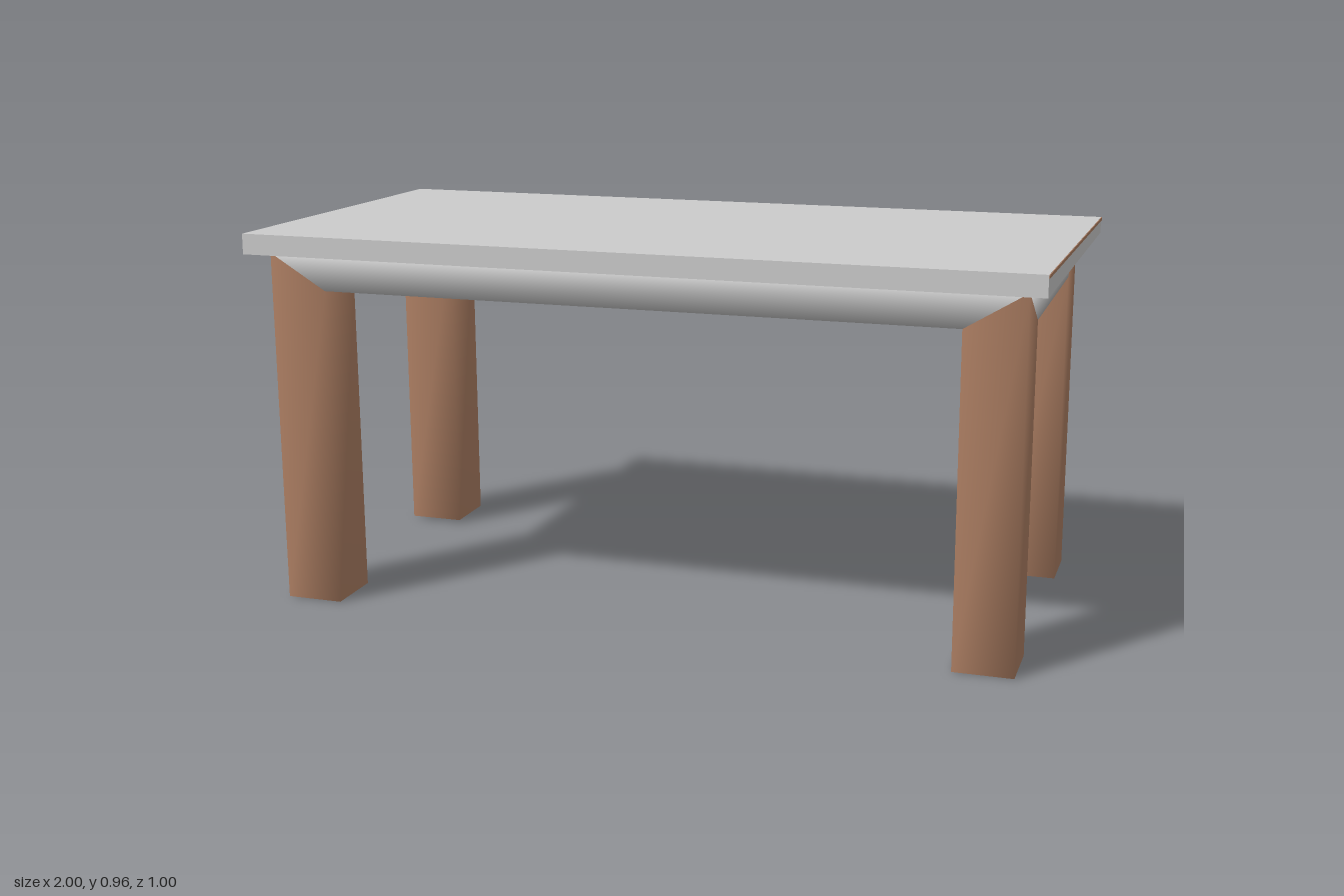
import * as THREE from 'three';
import { mergeVertices } from 'three/addons/utils/BufferGeometryUtils.js';

const grey = new THREE.MeshStandardMaterial({ color: 0xcccccc });
const wood = new THREE.MeshStandardMaterial({ color: 0xaf8064 });

const OUT_X = 0.948, IN_X = 0.80, OUT_Z = 0.45, IN_Z = 0.295;
const TOP = 0.91, LOW = 0.82;
const CORNERS = [[1, 1], [1, -1], [-1, -1], [-1, 1]];

// Slight hand-made skew: the frame twists a little and the legs lean back
const warp = ([x, y, z]) => [
  x + 0.012 * z - 0.002,
  y + 0.005 - 0.01 * z,
  z - 0.007 * x - 0.009 * (1 - y / TOP),
];

// Closed solid between two loops (counter-clockwise from above), smooth shaded
function loft(bottom, top) {
  const n = bottom.length;
  const centre = (loop) => [0, 1, 2].map((k) => loop.reduce((s, p) => s + p[k], 0) / n);
  const points = [...bottom, ...top, centre(bottom), centre(top)].map(warp);
  const index = [];
  for (let i = 0; i < n; i++) {
    const j = (i + 1) % n;
    index.push(i, j, j + n, i, j + n, i + n); // side
    index.push(j, i, 2 * n, i + n, j + n, 2 * n + 1); // caps
  }
  let geometry = new THREE.BufferGeometry();
  geometry.setAttribute('position', new THREE.Float32BufferAttribute(points.flat(), 3));
  geometry.setIndex(index);
  geometry = mergeVertices(geometry);
  geometry.computeVertexNormals();
  return geometry;
}

function part(name, geometry, material) {
  const mesh = new THREE.Mesh(geometry, material);
  mesh.name = name;
  return mesh;
}

export function createModel() {
  const group = new THREE.Group();
  group.name = 'table';

  // Tabletop slab, its underside following the skewed frame
  const slab = new THREE.BoxGeometry(1.996, 0.052, 0.996);
  slab.translate(0, 0.936, 0);
  const pos = slab.attributes.position;
  for (let i = 0; i < pos.count; i++) {
    if (pos.getY(i) < 0.93) pos.setY(i, TOP + 0.005 - 0.01 * pos.getZ(i));
  }
  group.add(part('tabletop', slab, grey));

  // Thin wooden rim showing along the back and one end
  const rim = new THREE.BoxGeometry(1.997, 0.008, 0.997);
  rim.translate(0.0015, 0.9575, -0.0015);
  group.add(part('tabletopRim', rim, wood));

  // Apron: flush side panels that mitre into the legs, closed underneath
  const low = [], high = [];
  for (const [sx, sz] of CORNERS) {
    const notch = [[IN_X, OUT_Z], [IN_X, IN_Z], [OUT_X, IN_Z]];
    if (sx * sz < 0) notch.reverse();
    for (const [x, z] of notch) {
      low.push([sx * x, LOW, sz * z]);
      high.push([sx * OUT_X, TOP, sz * OUT_Z]);
    }
  }
  group.add(part('apron', loft(low, high), grey));

  // Legs: square posts rising to a point at the outer corner
  for (const [sx, sz] of CORNERS) {
    const plan = [[OUT_X, OUT_Z, TOP], [OUT_X, IN_Z, LOW], [IN_X, IN_Z, LOW], [IN_X, OUT_Z, LOW]];
    if (sx * sz < 0) plan.reverse();
    const foot = plan.map(([x, z]) => [sx * x, 0, sz * z]);
    const head = plan.map(([x, z, y]) => [sx * x, y, sz * z]);
    const name = (sz > 0 ? 'front' : 'back') + (sx > 0 ? 'Left' : 'Right') + 'Leg';
    group.add(part(name, loft(foot, head), wood));
  }
  return group;
}
